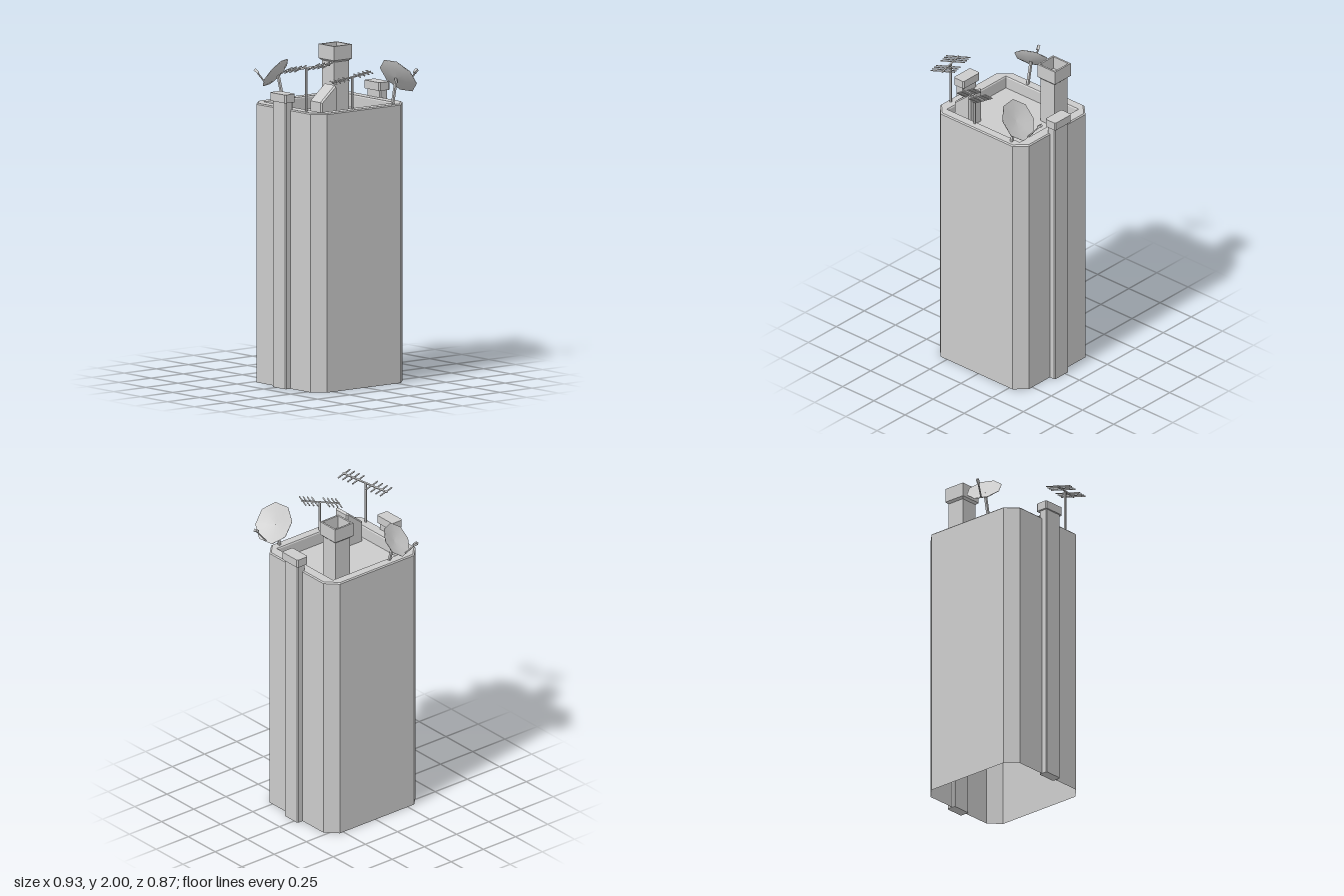
import * as THREE from 'three';

const V = (x, y, z) => new THREE.Vector3(x, y, z);
const material = new THREE.MeshStandardMaterial({ color: 0xcccccc, side: THREE.DoubleSide });
const flat = new THREE.MeshStandardMaterial({ color: 0xcccccc, side: THREE.DoubleSide, flatShading: true });

function add(parent, name, geometry, mat = flat) {
  const mesh = new THREE.Mesh(geometry, mat);
  mesh.name = name;
  parent.add(mesh);
  return mesh;
}

// Rectangle with cut corners at height y, inset by d
function loop([x0, x1, z0, z1], cut, y, d = 0) {
  x0 += d; x1 -= d; z0 += d; z1 -= d;
  return [[x0 + cut, z1], [x1 - cut, z1], [x1, z1 - cut], [x1, z0 + cut],
    [x1 - cut, z0], [x0 + cut, z0], [x0, z0 + cut], [x0, z1 - cut]].map(([x, z]) => V(x, y, z));
}

// Joins loops from first to last; caps the last and optionally the first
function loft(loops, closeStart) {
  const tris = [];
  for (let k = 0; k + 1 < loops.length; k++) {
    const a = loops[k], b = loops[k + 1];
    for (let i = 0; i < 8; i++) {
      const j = (i + 1) % 8;
      tris.push(a[i], a[j], b[j], a[i], b[j], b[i]);
    }
  }
  const first = loops[0], last = loops[loops.length - 1];
  for (let i = 1; i < 7; i++) {
    tris.push(last[0], last[i], last[i + 1]);
    if (closeStart) tris.push(first[0], first[i + 1], first[i]);
  }
  const geometry = new THREE.BufferGeometry().setFromPoints(tris);
  geometry.computeVertexNormals();
  return geometry;
}

// Straight square bar between two points
function bar(parent, name, a, b, w) {
  const mesh = add(parent, name, new THREE.BoxGeometry(w, a.distanceTo(b), w));
  mesh.position.copy(a).add(b).multiplyScalar(0.5);
  mesh.quaternion.setFromUnitVectors(V(0, 1, 0), b.clone().sub(a).normalize());
  return mesh;
}

// Eight-sided satellite dish with post, feed arm and receiver
function dish(name, center, normal, apothem, base, tip) {
  const g = new THREE.Group();
  g.name = name;
  const n = normal.normalize(), r = apothem / Math.cos(Math.PI / 8);
  const side = V(0, 1, 0).cross(n).normalize();
  const down = side.clone().cross(n).normalize();
  if (down.y > 0) { down.negate(); side.negate(); }
  const profile = [[0, -0.022], [r * 0.55, -0.016], [r, 0], [r, 0.006], [r * 0.55, -0.01], [0, -0.016]];
  const bowl = add(g, 'dishBowl', new THREE.LatheGeometry(
    profile.map(([x, y]) => new THREE.Vector2(x, y)), 8, Math.PI / 8), material);
  bowl.quaternion.setFromRotationMatrix(new THREE.Matrix4().makeBasis(n.clone().cross(down), n, down));
  bowl.position.copy(center);
  bar(g, 'dishPost', base, center.clone().addScaledVector(n, -0.02), 0.014);
  bar(g, 'feedArm', center.clone().addScaledVector(down, apothem * 0.97), tip, 0.007);
  bar(g, 'receiver', tip.clone().addScaledVector(n, 0.012), tip.clone().addScaledVector(n, -0.018), 0.016);
  return g;
}

// Aerial: mast, sloping boom and two groups of cross rods
function aerial(name, start, end, mastAt, rodLength, roll) {
  const g = new THREE.Group();
  g.name = name;
  bar(g, 'boom', start, end, 0.009);
  const top = start.clone().lerp(end, mastAt);
  bar(g, 'mast', V(top.x, 1.67, top.z), top, 0.01);
  const dir = end.clone().sub(start);
  const half = V(dir.z, 0, -dir.x).normalize().multiplyScalar(rodLength / 2);
  half.y = roll;
  for (const t of [0.03, 0.13, 0.24, 0.35, 0.65, 0.76, 0.87, 0.97]) {
    const p = start.clone().lerp(end, t);
    bar(g, 'crossRod', p.clone().sub(half), p.clone().add(half), 0.007);
  }
  return g;
}

export function createModel() {
  const model = new THREE.Group();

  // Tower shell with bevelled parapet and sunken roof, open underneath
  const outer = [-0.37, 0.347, -0.295, 0.347], inner = [-0.302, 0.282, -0.237, 0.289];
  add(model, 'tower', loft([
    loop(outer, 0.07, 0), loop(outer, 0.07, 1.68), loop(outer, 0.07, 1.687, 0.007),
    loop(inner, 0, 1.687), loop(inner, 0, 1.68, 0.005), loop(inner, 0, 1.61, 0.006),
  ]));

  // Side pilasters with caps
  for (const [x0, x1, c0, c1] of [[-0.408, -0.35, -0.418, -0.338], [0.327, 0.387, 0.316, 0.398]]) {
    const shaft = [x0, x1, -0.032, 0.092], cap = [c0, c1, -0.045, 0.101];
    add(model, 'pilaster', loft([loop(shaft, 0.006, 0), loop(shaft, 0.006, 1.73)], true));
    add(model, 'pilasterCap', loft([loop(cap, 0.008, 1.73), loop(cap, 0.008, 1.78)], true));
  }

  // Chimney with wider hollow head
  const stack = [0.115, 0.23, -0.196, -0.081], head = [0.102, 0.243, -0.21, -0.069];
  add(model, 'chimney', loft([
    loop(stack, 0, 1.6), loop(stack, 0, 1.902), loop(head, 0, 1.914), loop(head, 0, 2),
    loop(head, 0, 2, 0.011), loop(head, 0, 1.92, 0.012),
  ]));

  // Roof hatch with slanted top
  const hatch = new THREE.Shape([[-0.268, 1.6], [-0.148, 1.6], [-0.148, 1.82], [-0.158, 1.829],
    [-0.268, 1.737]].map(([x, y]) => new THREE.Vector2(x, y)));
  const hatchGeometry = new THREE.ExtrudeGeometry(hatch, {
    depth: 0.092, bevelEnabled: true, bevelSegments: 1, bevelSize: 0.008, bevelThickness: 0.01, bevelOffset: -0.006,
  });
  hatchGeometry.translate(0, 0, 0.158);
  add(model, 'roofHatch', hatchGeometry);

  // Satellite dishes
  model.add(
    dish('frontDish', V(0.285, 1.85, 0.31), V(0.79, 0.6, -0.11), 0.12, V(0.235, 1.67, 0.315), V(0.443, 1.862, 0.287)),
    dish('backDish', V(-0.153, 1.838, -0.304), V(-0.32, 0.61, -0.72), 0.1, V(-0.14, 1.67, -0.25), V(-0.207, 1.842, -0.422)),
  );

  // Aerials
  model.add(
    aerial('sideAerial', V(-0.4, 1.922, 0.076), V(-0.283, 1.98, 0.351), 0.48, 0.152, 0.008),
    aerial('frontAerial', V(-0.183, 1.848, 0.258), V(0.043, 1.905, 0.344), 0.52, 0.118, 0),
  );
  return model;
}
